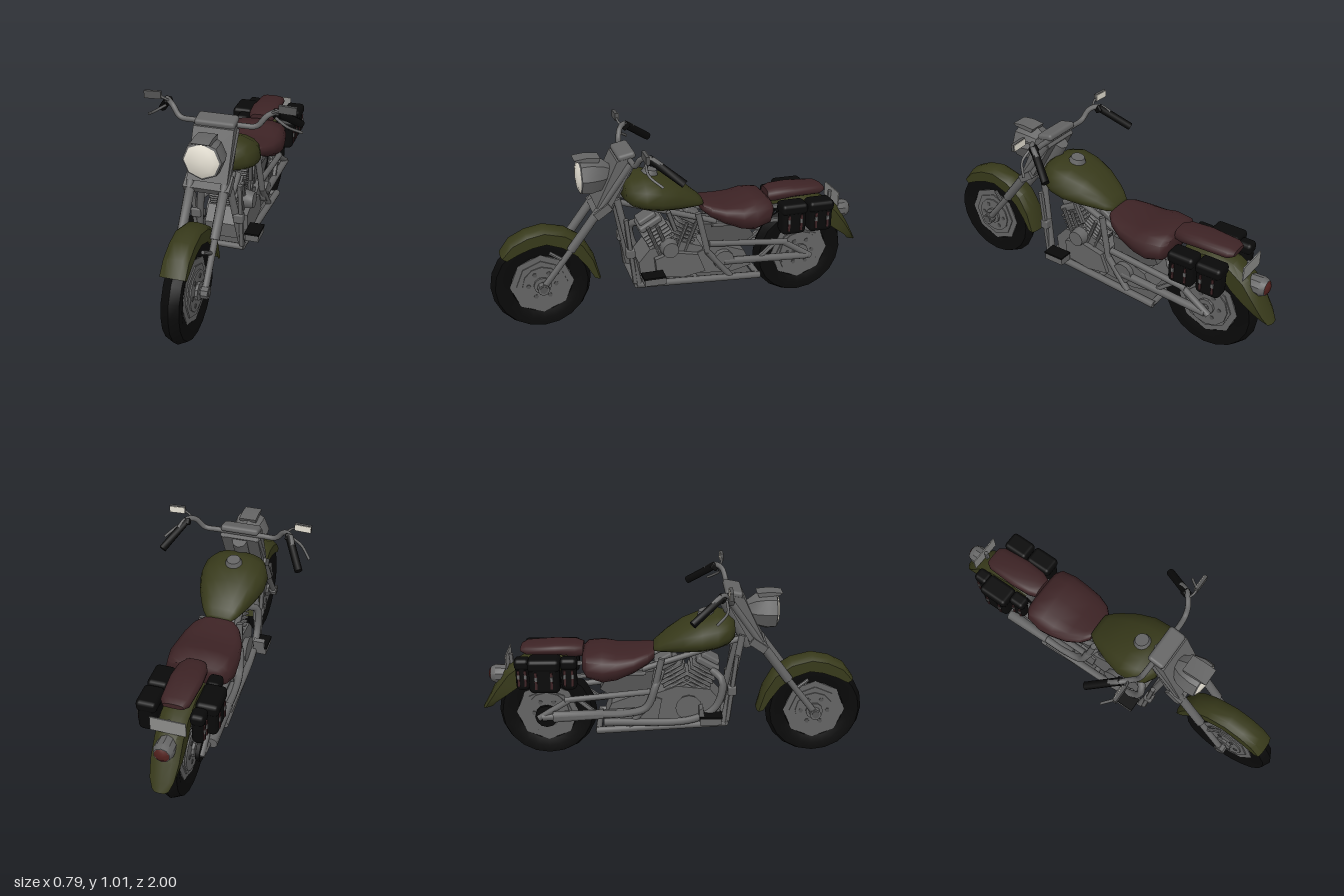
import * as THREE from 'three';
import { toCreasedNormals } from 'three/addons/utils/BufferGeometryUtils.js';
import { RoundedBoxGeometry } from 'three/addons/geometries/RoundedBoxGeometry.js';

const mat = (name, color, side = THREE.FrontSide) => {
  const m = new THREE.MeshStandardMaterial({ color, side });
  m.name = name;
  return m;
};
const steel = mat('steel', 0x646464), darkSteel = mat('dark steel', 0x545454);
const olive = mat('olive paint', 0x37391a, THREE.DoubleSide), leather = mat('maroon leather', 0x3d2325);
const black = mat('black rubber', 0x090909), glass = mat('pale glass', 0xe6e1d4);
const plateGrey = mat('plate grey', 0x8c8c8a), red = mat('tail red', 0x50201d);
const V = (p) => new THREE.Vector3(...p);

export function createModel() {
  const root = new THREE.Group();
  const add = (name, geo, m, pos = [0, 0, 0], rot = [0, 0, 0], crease = 0.6) => {
    const mesh = new THREE.Mesh(crease ? toCreasedNormals(geo, crease) : geo, m);
    mesh.name = name;
    mesh.position.set(...pos);
    mesh.rotation.set(...rot);
    root.add(mesh);
    return mesh;
  };
  const box = (name, size, m, pos, rot) => add(name, new THREE.BoxGeometry(...size), m, pos, rot);
  const soft = (name, size, r, m, pos, rot) => add(name, new RoundedBoxGeometry(...size, 2, r), m, pos, rot, 0);
  // cylinder along x, and turned profile along z
  const discX = (name, r, w, n, m, pos, r2 = r) => add(name, new THREE.CylinderGeometry(r, r2, w, n), m, pos, [0, 0, -Math.PI / 2]);
  const turnZ = (name, prof, n, m, pos) =>
    add(name, new THREE.LatheGeometry(prof.map((p) => new THREE.Vector2(...p)), n), m, pos, [Math.PI / 2, 0, 0]);
  const rod = (name, a, b, r, m = steel, r2 = r, n = 8) => {
    const A = V(a), B = V(b), d = B.clone().sub(A);
    const mesh = add(name, new THREE.CylinderGeometry(r2, r, d.length(), n), m, A.clone().lerp(B, 0.5).toArray(), [0, 0, 0], 0.9);
    mesh.quaternion.setFromUnitVectors(new THREE.Vector3(0, 1, 0), d.normalize());
    return mesh;
  };
  const tube = (name, pts, r, m = steel, n = 8) =>
    add(name, new THREE.TubeGeometry(new THREE.CatmullRomCurve3(pts.map(V)), pts.length * 5, r, n), m, undefined, undefined, 0);
  // outline given as [z, y], extruded across x
  const slab = (name, pts, w, m, x = 0) => {
    const g = new THREE.ExtrudeGeometry(new THREE.Shape(pts.map((p) => new THREE.Vector2(...p))), { depth: w, bevelEnabled: false });
    g.translate(0, 0, -w / 2).rotateY(-Math.PI / 2);
    return add(name, g, m, [x, 0, 0]);
  };
  // surface through equal rows of points
  const grid = (rows) => {
    const n = rows[0].length, idx = [];
    for (let i = 0; i < rows.length - 1; i++)
      for (let j = 0; j < n - 1; j++) {
        const a = i * n + j, c = a + n;
        idx.push(a, a + 1, c, a + 1, c + 1, c);
      }
    const g = new THREE.BufferGeometry();
    g.setAttribute('position', new THREE.Float32BufferAttribute(rows.flat(2), 3));
    g.setIndex(idx);
    g.computeVertexNormals();
    return g;
  };
  // rounded body from sections [z, halfWidth, bottom, widest, top], z increasing
  const body = (name, secs, m, p = 0.8) => {
    const pw = (v) => Math.sign(v) * Math.abs(v) ** p;
    const ring = ([z, w, b, mid, t]) => Array.from({ length: 17 }, (_, j) => {
      const a = (j / 16) * Math.PI * 2, s = pw(Math.sin(a));
      return [w * pw(Math.cos(a)), mid + s * (s > 0 ? t - mid : mid - b), z];
    });
    const f = secs[0], l = secs[secs.length - 1];
    const cap = (s) => [s[0], 0, s[3], s[3], s[3]];
    return add(name, grid([cap(f), ...secs, cap(l)].map(ring)), m, undefined, undefined, 0.9);
  };
  // arched guard from stations [outerZ, outerY, innerZ, innerY, own half width]
  const fender = (name, st, w) => add(name, grid(st.map(([oz, oy, iz, iy, hw = w]) =>
    [[-1, 0], [-1, 0.72], [-0.6, 0.95], [0, 1], [0.6, 0.95], [1, 0.72], [1, 0]].map(([x, t]) =>
      [x * hw, iy + (oy - iy) * t, iz + (oz - iz) * t]))), olive, undefined, undefined, 0.7);

  // Wheels
  const wheel = (name, z, hw, disc) => {
    const prof = [[0.155, -hw * 0.75], [0.195, -hw], [0.235, -hw], [0.256, 0], [0.235, hw], [0.195, hw], [0.155, hw * 0.75], [0.155, -hw * 0.75]];
    add(name + 'Tyre', new THREE.LatheGeometry(prof.map((p) => new THREE.Vector2(...p)), 20), black, [0, 0.258, z], [0, 0, Math.PI / 2]);
    const c = [0, 0.258, z];
    discX(name + 'Rim', 0.162, hw * 1.6, 8, steel, c);
    discX(name + 'RimWell', 0.13, hw * 1.9, 8, steel, c);
    discX(name + 'BrakeDisc', disc, hw * 2.2, 12, steel, c);
    discX(name + 'Hub', 0.045, hw * 2.8, 10, steel, c);
    discX(name + 'Axle', 0.02, 0.21, 8, darkSteel, c);
    for (let i = 0; i < 6; i++) {
      const a = (i / 6) * Math.PI * 2;
      discX(name + 'Bolt', 0.012, hw * 2.35, 6, darkSteel, [0, 0.258 + Math.sin(a) * 0.07, z + Math.cos(a) * 0.07]);
    }
  };
  wheel('frontWheel', 0.744, 0.043, 0.1);
  wheel('rearWheel', -0.66, 0.046, 0.115);

  // Fenders
  fender('frontFender', [[0.94, 0.44, 0.91, 0.42], [0.89, 0.51, 0.85, 0.45], [0.81, 0.55, 0.78, 0.475], [0.72, 0.567, 0.71, 0.485],
    [0.61, 0.54, 0.63, 0.455], [0.52, 0.475, 0.56, 0.4], [0.47, 0.38, 0.51, 0.33], [0.44, 0.255, 0.475, 0.265]], 0.06);
  fender('rearFender', [[-1, 0.28, -0.945, 0.295, 0.04], [-0.975, 0.325, -0.92, 0.325, 0.058], [-0.93, 0.41, -0.86, 0.37],
    [-0.87, 0.505, -0.785, 0.425], [-0.78, 0.56, -0.73, 0.49], [-0.64, 0.595, -0.64, 0.51], [-0.52, 0.57, -0.53, 0.5]], 0.068);

  // Tank and seats
  body('fuelTank', [[-0.1, 0.065, 0.6, 0.615, 0.635], [-0.07, 0.09, 0.6, 0.625, 0.66], [-0.03, 0.112, 0.6, 0.64, 0.695], [0.05, 0.148, 0.605, 0.66, 0.75],
    [0.14, 0.174, 0.615, 0.675, 0.785], [0.22, 0.172, 0.63, 0.69, 0.803], [0.28, 0.145, 0.65, 0.705, 0.79], [0.31, 0.1, 0.675, 0.72, 0.765]], olive);
  add('fuelCap', new THREE.CylinderGeometry(0.035, 0.045, 0.025, 12), steel, [0, 0.798, 0.165], [-0.2, 0, 0]);
  body('mainSeat', [[-0.462, 0.13, 0.51, 0.555, 0.6], [-0.44, 0.16, 0.475, 0.54, 0.62], [-0.36, 0.174, 0.45, 0.53, 0.625],
    [-0.29, 0.17, 0.46, 0.54, 0.605], [-0.2, 0.154, 0.5, 0.56, 0.603], [-0.13, 0.122, 0.54, 0.58, 0.615], [-0.095, 0.085, 0.57, 0.59, 0.62]], leather, 0.7);
  body('pillionSeat', [[-0.78, 0.05, 0.6, 0.61, 0.625], [-0.75, 0.07, 0.585, 0.61, 0.64], [-0.6, 0.08, 0.585, 0.615, 0.648],
    [-0.5, 0.072, 0.57, 0.61, 0.646], [-0.46, 0.055, 0.57, 0.6, 0.635]], leather, 0.7);

  // Saddlebags with lids and straps
  const bag = (x, z, w, l, y = 0.51, h = 0.17) => {
    const s = Math.sign(x);
    soft('saddlebag', [w, h, l], 0.025, black, [x, y, z]);
    soft('saddlebagLid', [w + 0.01, h * 0.35, l + 0.008], 0.02, black, [x, y + h * 0.34, z]);
    for (const k of [-0.25, 0.25]) {
      box('bagStrap', [0.006, h * 0.5, 0.012], leather, [x + s * (w / 2 + 0.002), y - 0.015, z + k * l]);
      box('bagBuckle', [0.007, 0.022, 0.015], steel, [x + s * (w / 2 + 0.004), y - 0.005, z + k * l]);
    }
  };
  bag(0.135, -0.565, 0.09, 0.135);
  bag(0.135, -0.715, 0.09, 0.13);
  bag(-0.138, -0.65, 0.1, 0.155, 0.515, 0.18);
  bag(-0.115, -0.765, 0.06, 0.07);
  bag(-0.115, -0.53, 0.06, 0.08);

  // Tail lamp and number plate
  turnZ('tailLampHousing', [[0, -0.055], [0.04, -0.055], [0.05, -0.03], [0.046, 0.05], [0, 0.05]], 10, steel, [0, 0.465, -0.89]);
  turnZ('tailLampLens', [[0, -0.008], [0.024, -0.006], [0.038, 0.004]], 10, red, [0, 0.465, -0.948]);
  box('numberPlate', [0.17, 0.075, 0.006], plateGrey, [0, 0.555, -0.852]);
  rod('plateBracket', [0, 0.5, -0.835], [0, 0.575, -0.838], 0.011);

  // Headlamp and steering head
  turnZ('headlampBucket', [[0, -0.13], [0.05, -0.125], [0.085, -0.08], [0.1, -0.02], [0.096, 0.025], [0.086, 0.03]], 8, steel, [0, 0.808, 0.495]);
  turnZ('headlampLens', [[0.089, -0.004], [0.06, 0.01], [0, 0.018]], 8, glass, [0, 0.808, 0.526]);
  slab('headlampVisor', [[0.43, 0.885], [0.53, 0.893], [0.55, 0.905], [0.49, 0.912], [0.42, 0.905]], 0.09, steel);
  slab('steeringCover', [[0.27, 0.87], [0.29, 0.91], [0.35, 0.9], [0.46, 0.67], [0.4, 0.64]], 0.2, steel);
  soft('dashPanel', [0.2, 0.035, 0.09], 0.015, steel, [0, 0.918, 0.3], [0.2, 0, 0]);
  box('lowerClamp', [0.23, 0.04, 0.09], steel, [0, 0.65, 0.43], [0.6, 0, 0]);
  rod('steeringHead', [0, 0.86, 0.27], [0, 0.62, 0.4], 0.04);

  // Paired parts
  for (const s of [-1, 1]) {
    // Front fork
    rod('forkUpperTube', [s * 0.088, 0.88, 0.285], [s * 0.082, 0.5, 0.555], 0.021);
    rod('forkSleeve', [s * 0.083, 0.63, 0.46], [s * 0.082, 0.45, 0.595], 0.024);
    rod('forkLowerTube', [s * 0.082, 0.5, 0.555], [s * 0.082, 0.25, 0.75], 0.017);
    discX('forkFoot', 0.03, 0.035, 8, steel, [s * 0.085, 0.256, 0.744]);
    rod('fenderStay', [s * 0.082, 0.4, 0.635], [s * 0.06, 0.44, 0.7], 0.01);
    // Handlebar, grips, levers and mirrors
    tube('handlebar', [[0, 0.9, 0.285], [s * 0.12, 0.9, 0.285], [s * 0.19, 0.905, 0.28], [s * 0.235, 0.955, 0.262], [s * 0.275, 0.965, 0.225], [s * 0.3, 0.935, 0.18]], 0.014);
    rod('grip', [s * 0.272, 0.96, 0.225], [s * 0.358, 0.855, 0.085], 0.02, black);
    soft('switchBox', [0.035, 0.035, 0.04], 0.008, black, [s * 0.27, 0.955, 0.225], [0.6, 0, 0]);
    tube('lever', [[s * 0.27, 0.945, 0.25], [s * 0.33, 0.905, 0.25], [s * 0.388, 0.86, 0.195]], 0.007, steel, 6);
    tube('mirrorStem', [[s * 0.25, 0.965, 0.25], [s * 0.272, 0.98, 0.262], [s * 0.3, 0.995, 0.265]], 0.006, steel, 6);
    box('mirrorShell', [0.086, 0.038, 0.016], darkSteel, [s * 0.333, 0.996, 0.265], [0, 0, s * -0.04]);
    box('mirrorGlass', [0.08, 0.033, 0.004], glass, [s * 0.333, 0.996, 0.256], [0, 0, s * -0.04]);
    // Frame cradle
    rod('downTube', [s * 0.06, 0.69, 0.35], [s * 0.115, 0.23, 0.26], 0.018);
    rod('bottomRail', [s * 0.115, 0.225, 0.27], [s * 0.125, 0.19, -0.4], 0.019);
    rod('backboneTube', [s * 0.05, 0.67, 0.34], [s * 0.09, 0.52, -0.16], 0.016);
    rod('seatTube', [s * 0.1, 0.58, -0.06], [s * 0.115, 0.36, -0.11], 0.017);
    rod('rearDownTube', [s * 0.115, 0.36, -0.11], [s * 0.12, 0.2, -0.24], 0.017);
    rod('seatRail', [s * 0.09, 0.5, -0.14], [s * 0.085, 0.47, -0.76], 0.014);
    rod('crashBar', [s * 0.12, 0.6, 0.32], [s * 0.12, 0.24, 0.28], 0.013);
    soft('crashBarJoint', [0.05, 0.05, 0.045], 0.008, steel, [s * 0.11, 0.41, 0.3]);
    // Swingarm
    rod('swingarmLower', [s * 0.11, 0.29, -0.2], [s * 0.1, 0.256, -0.68], 0.021);
    rod('swingarmUpper', [s * 0.105, 0.4, -0.12], [s * 0.095, 0.35, -0.56], 0.017);
    rod('swingarmBrace', [s * 0.095, 0.35, -0.54], [s * 0.1, 0.25, -0.7], 0.017);
    rod('swingarmStrut', [s * 0.105, 0.28, -0.4], [s * 0.095, 0.36, -0.5], 0.013);
    // Footboards
    box('footboard', [0.07, 0.035, 0.11], steel, [s * 0.16, 0.266, 0.19]);
    box('footboardPad', [0.076, 0.009, 0.115], black, [s * 0.16, 0.288, 0.192]);
    rod('footboardArm', [s * 0.09, 0.25, 0.18], [s * 0.15, 0.265, 0.18], 0.012);
  }
  slab('footGuard', [[0.13, 0.28], [0.16, 0.28], [0.15, 0.34], [0.13, 0.33]], 0.06, steel, -0.155);

  // Under tray and cross members
  box('underTray', [0.22, 0.012, 0.6], darkSteel, [0, 0.196, -0.07], [-0.05, 0, 0]);
  for (const [y, z] of [[0.225, 0.27], [0.205, -0.05], [0.19, -0.39]]) rod('crossMember', [-0.125, y, z], [0.125, y, z], 0.016);

  // Engine block and gearbox
  slab('crankcase', [[0.24, 0.25], [0.25, 0.33], [0.19, 0.4], [0.02, 0.42], [-0.09, 0.38], [-0.1, 0.24], [0.05, 0.21]], 0.17, steel);
  slab('primaryCover', [[0.16, 0.25], [0.17, 0.35], [0.08, 0.38], [-0.06, 0.35], [-0.1, 0.25], [0.02, 0.23]], 0.03, steel, 0.1);
  slab('gearbox', [[-0.08, 0.23], [-0.06, 0.35], [-0.16, 0.39], [-0.32, 0.33], [-0.36, 0.24], [-0.25, 0.215]], 0.19, steel);
  slab('batteryCase', [[-0.12, 0.38], [-0.1, 0.5], [-0.34, 0.47], [-0.38, 0.4], [-0.3, 0.35]], 0.14, darkSteel);
  discX('airCleaner', 0.042, 0.05, 12, steel, [0.105, 0.4, 0.09], 0.05);
  discX('timingCover', 0.06, 0.03, 12, steel, [-0.1, 0.31, 0.08], 0.07);
  discX('clutchCover', 0.055, 0.03, 12, steel, [0.11, 0.3, -0.2]);
  // Finned cylinders in a V
  for (const t of [0.52, -0.52]) {
    const at = (d) => [0, 0.34 + Math.cos(t) * d, 0.07 + Math.sin(t) * d];
    rod('cylinderBarrel', at(0), at(0.22), 0.06, steel, 0.06, 12);
    for (let i = 0; i < 6; i++) soft('coolingFin', [0.15, 0.012, 0.145], 0.005, steel, at(0.08 + i * 0.021), [t, 0, 0]);
    soft('cylinderHead', [0.14, 0.035, 0.13], 0.012, steel, at(0.218), [t, 0, 0]);
    soft('rockerCover', [0.1, 0.03, 0.1], 0.01, steel, at(0.246), [t, 0, 0]);
    for (const k of [-0.025, 0.025])
      rod('pushrod', [0.08, 0.36, 0.07 + k + t * 0.08], [0.082, at(0.21)[1], at(0.21)[2] + k], 0.01);
  }
  rod('ignitionStem', [0.1, 0.5, 0.06], [0.11, 0.61, 0.1], 0.013);

  // Exhaust on the right side
  tube('frontExhaust', [[-0.06, 0.5, 0.2], [-0.11, 0.46, 0.25], [-0.12, 0.32, 0.22], [-0.125, 0.25, 0.1], [-0.13, 0.24, -0.36]], 0.02);
  tube('rearExhaust', [[-0.06, 0.5, -0.06], [-0.11, 0.44, -0.09], [-0.125, 0.32, -0.14], [-0.13, 0.29, -0.24], [-0.13, 0.285, -0.42]], 0.02);
  rod('muffler', [-0.128, 0.285, -0.36], [-0.125, 0.27, -0.62], 0.025, steel, 0.03, 10);
  discX('driveSprocket', 0.06, 0.02, 12, black, [-0.085, 0.256, -0.66]);
  return root;
}
